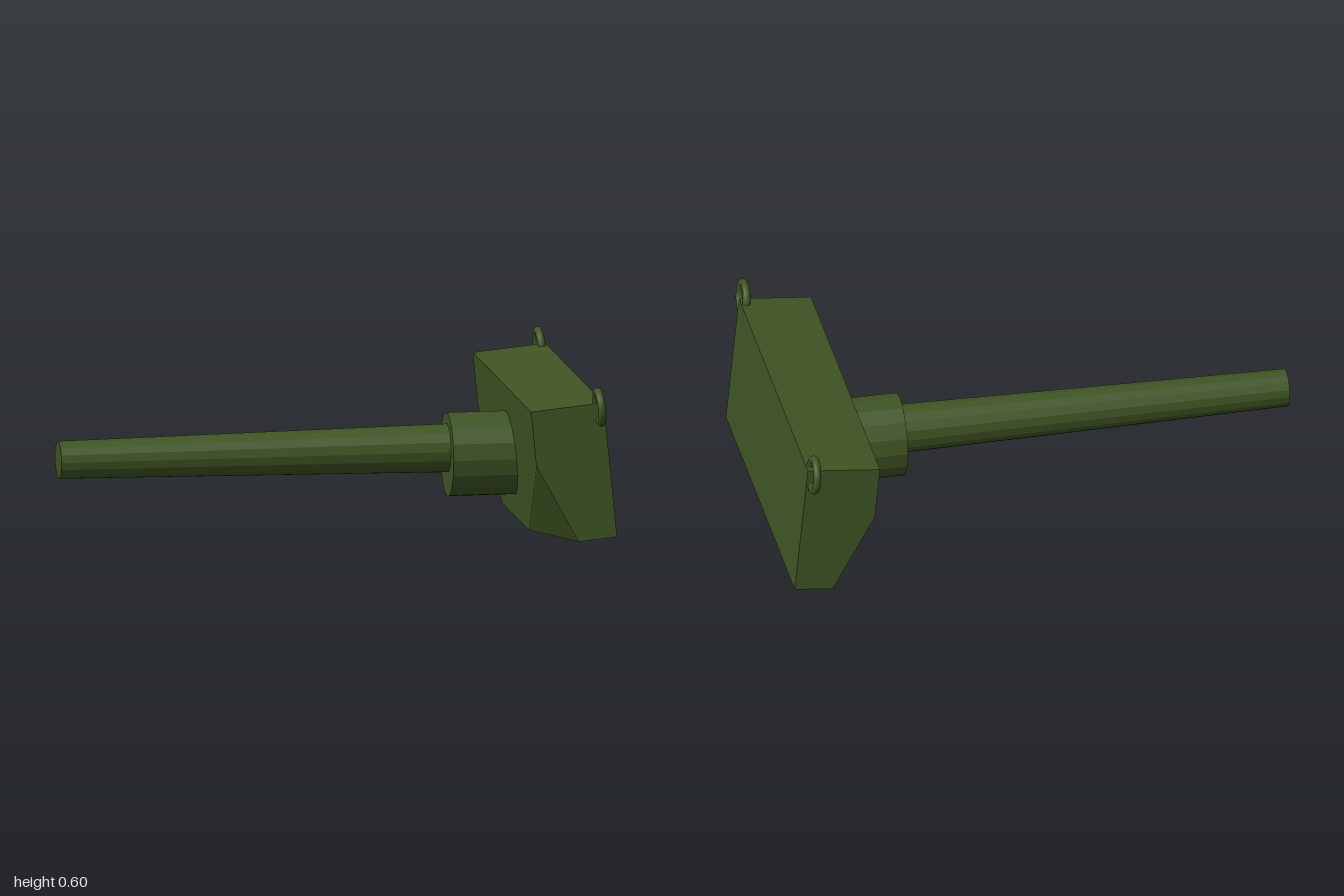
import * as THREE from 'three';
import { ConvexGeometry } from 'three/addons/geometries/ConvexGeometry.js';

export function createModel() {
  const model = new THREE.Group();
  model.name = 'gunAssembly';
  const flat = new THREE.MeshStandardMaterial({ color: 0x3f5524, flatShading: true });
  const smooth = new THREE.MeshStandardMaterial({ color: 0x3f5524 });

  const add = (parent, name, geometry, material) => {
    const mesh = new THREE.Mesh(geometry, material);
    mesh.name = name;
    parent.add(mesh);
    return mesh;
  };

  // Round section lying along x from x0 to x1
  const tube = (name, x0, x1, r0, r1, y, z, squash = 1) => {
    const geo = new THREE.CylinderGeometry(r1, r0, x1 - x0, 16);
    geo.rotateZ(-Math.PI / 2);
    geo.scale(1, 1, squash);
    geo.translate((x0 + x1) / 2, y, z);
    return add(model, name, geo, flat);
  };
  tube('barrel', -1, 0.5, 0.071, 0.092, 0.271, 0.022);
  tube('collar', 0.465, 0.73, 0.158, 0.158, 0.247, 0.022, 0.94);

  // Tilted shield; its origin is the lower front edge
  const shield = new THREE.Group();
  shield.name = 'shieldGroup';
  shield.position.set(1, 0.027, -0.003);
  shield.rotation.z = THREE.MathUtils.degToRad(5.6);
  model.add(shield);

  // Block with the two lower rear corners cut away
  const depth = 0.275, height = 0.51, half = 0.634;
  const points = [];
  for (const s of [1, -1]) {
    points.push(
      new THREE.Vector3(0, 0, s * half),
      new THREE.Vector3(0, height, s * half),
      new THREE.Vector3(-depth, height, s * half),
      new THREE.Vector3(-depth, 0.305, s * half),
      new THREE.Vector3(-0.145, 0, s * half),
      new THREE.Vector3(-depth, 0, s * 0.29)
    );
  }
  add(shield, 'shield', new ConvexGeometry(points), flat);

  // Lifting rings on the upper front corners
  for (const s of [1, -1]) {
    const ring = add(shield, s > 0 ? 'frontLiftingRing' : 'rearLiftingRing',
      new THREE.TorusGeometry(0.058, 0.015, 12, 32), smooth);
    ring.rotation.y = Math.PI / 2;
    ring.position.set(-0.021, 0.5, s * 0.65 + 0.003);
  }
  return model;
}
